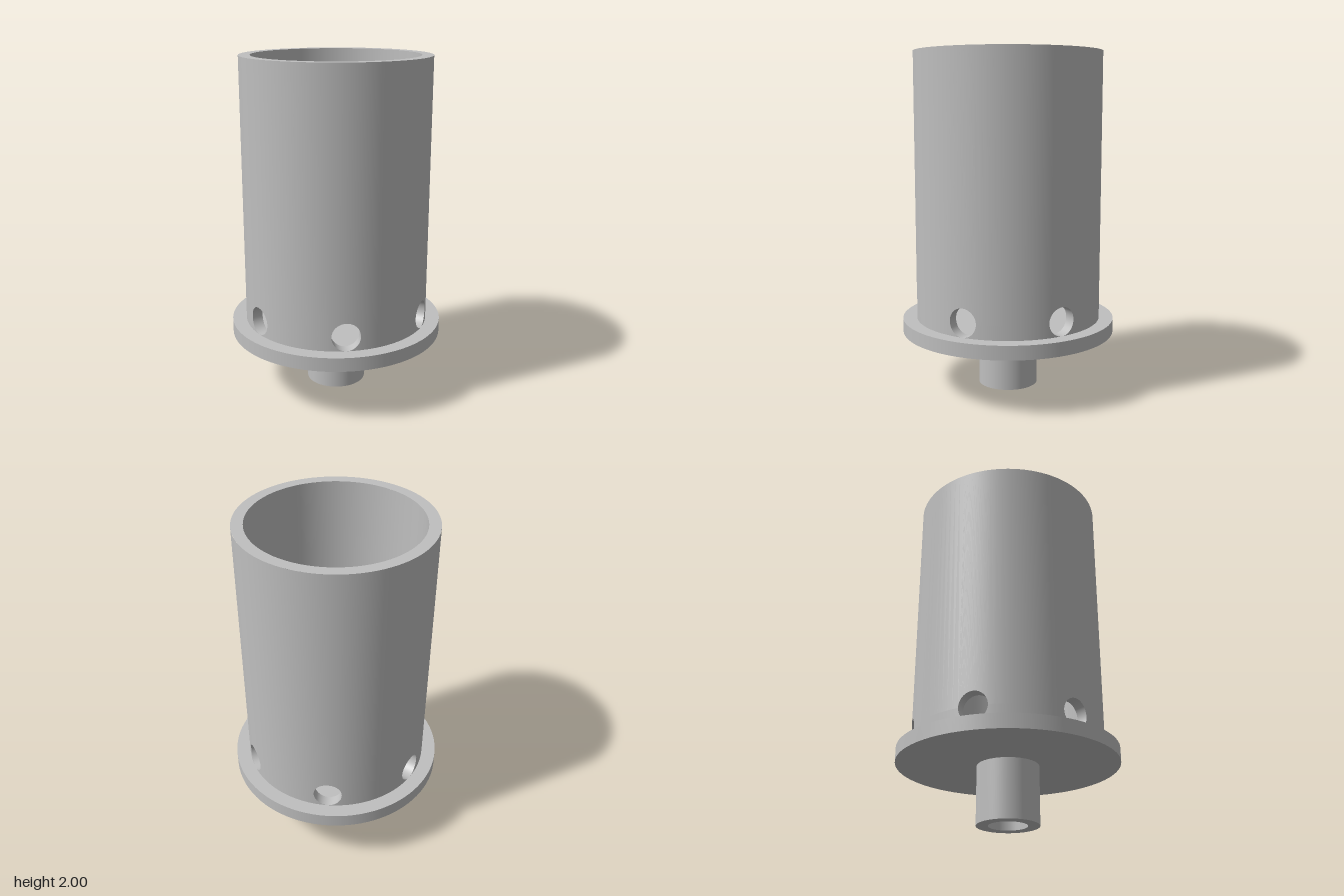
import * as THREE from 'three';
import { mergeGeometries } from 'three/addons/utils/BufferGeometryUtils.js';

const OUTER = 0.553, INNER = 0.487, FLOOR = 0.42, TOP = 2;
const HOLE_R = 0.083, HOLE_Y = 0.503, HOLES = 6;

// Revolved profile with sharp edges between its straight segments
function revolve(points) {
  const parts = [];
  for (let i = 0; i < points.length - 1; i++) {
    const pair = [points[i], points[i + 1]].map(([r, y]) => new THREE.Vector2(r, y));
    parts.push(new THREE.LatheGeometry(pair, 96));
  }
  return mergeGeometries(parts);
}

// Collects quads with given corner normals, wound to face along them
function quadBuilder() {
  const pos = [], nor = [];
  return {
    quad(p, n) {
      const d1 = p[2].clone().sub(p[0]), d2 = p[3].clone().sub(p[1]);
      const facing = d1.cross(d2).dot(n[0]) > 0;
      for (const i of facing ? [0, 1, 2, 0, 2, 3] : [0, 2, 1, 0, 3, 2]) {
        pos.push(...p[i].toArray());
        nor.push(...n[i].toArray());
      }
    },
    build() {
      const g = new THREE.BufferGeometry();
      g.setAttribute('position', new THREE.Float32BufferAttribute(pos, 3));
      g.setAttribute('normal', new THREE.Float32BufferAttribute(nor, 3));
      return g;
    },
  };
}

const onWall = (r, a, y) => new THREE.Vector3(r * Math.cos(a), y, r * Math.sin(a));

// One wall surface, made of upright strips that part around each hole
function wallGeometry(r, side) {
  const b = quadBuilder(), half = Math.PI / HOLES, edge = Math.asin(HOLE_R / r);
  const columns = [];
  for (let i = 0; i < 6; i++) columns.push([-half + (half - edge) * i / 6, 0]);
  for (let i = 0; i <= 32; i++) {
    const t = Math.PI * (1 - i / 32);
    columns.push([Math.asin(HOLE_R * Math.cos(t) / r), HOLE_R * Math.sin(t)]);
  }
  for (let i = 1; i <= 6; i++) columns.push([edge + (half - edge) * i / 6, 0]);

  for (let k = 0; k < HOLES; k++) {
    const turn = k * 2 * half;
    for (let i = 0; i < columns.length - 1; i++) {
      const [a0, h0] = columns[i], [a1, h1] = columns[i + 1];
      const n0 = onWall(side, turn + a0, 0), n1 = onWall(side, turn + a1, 0);
      const strip = (lo0, lo1, hi0, hi1) => b.quad([
        onWall(r, turn + a0, lo0), onWall(r, turn + a1, lo1),
        onWall(r, turn + a1, hi1), onWall(r, turn + a0, hi0)], [n0, n1, n1, n0]);
      strip(FLOOR, FLOOR, HOLE_Y - h0, HOLE_Y - h1);
      strip(HOLE_Y + h0, HOLE_Y + h1, TOP, TOP);
    }
  }
  return b.build();
}

// Round bore through the wall, along +x
function boreGeometry() {
  const b = quadBuilder(), steps = 64;
  const at = (r, t) => {
    const s = HOLE_R * Math.cos(t);
    return new THREE.Vector3(Math.sqrt(r * r - s * s), HOLE_Y + HOLE_R * Math.sin(t), s);
  };
  const inward = (t) => new THREE.Vector3(0, -Math.sin(t), -Math.cos(t));
  for (let i = 0; i < steps; i++) {
    const t0 = i / steps * 2 * Math.PI, t1 = (i + 1) / steps * 2 * Math.PI;
    b.quad([at(INNER, t0), at(INNER, t1), at(OUTER, t1), at(OUTER, t0)],
      [inward(t0), inward(t1), inward(t1), inward(t0)]);
  }
  return b.build();
}

export function createModel() {
  const model = new THREE.Group();
  model.name = 'ventedCup';
  const grey = new THREE.MeshStandardMaterial({ color: 0xbfbfbf });
  grey.name = 'grey';
  const add = (name, geometry) => {
    const mesh = new THREE.Mesh(geometry, grey);
    mesh.name = name;
    model.add(mesh);
    return mesh;
  };

  // Hollow stem and flange with a bore through both
  add('flangeAndStem', revolve([
    [0.111, 0], [0.178, 0], [0.178, 0.338], [0.637, 0.338],
    [0.637, FLOOR], [0.111, FLOOR], [0.111, 0],
  ]));

  // Cup wall and rim
  add('outerWall', wallGeometry(OUTER, 1));
  add('innerWall', wallGeometry(INNER, -1));
  add('rim', revolve([[OUTER, TOP], [INNER, TOP]]));

  // Ring of vent holes
  const bore = boreGeometry();
  for (let k = 0; k < HOLES; k++) {
    add('ventHole' + (k + 1), bore).rotation.y = k * 2 * Math.PI / HOLES;
  }
  return model;
}
